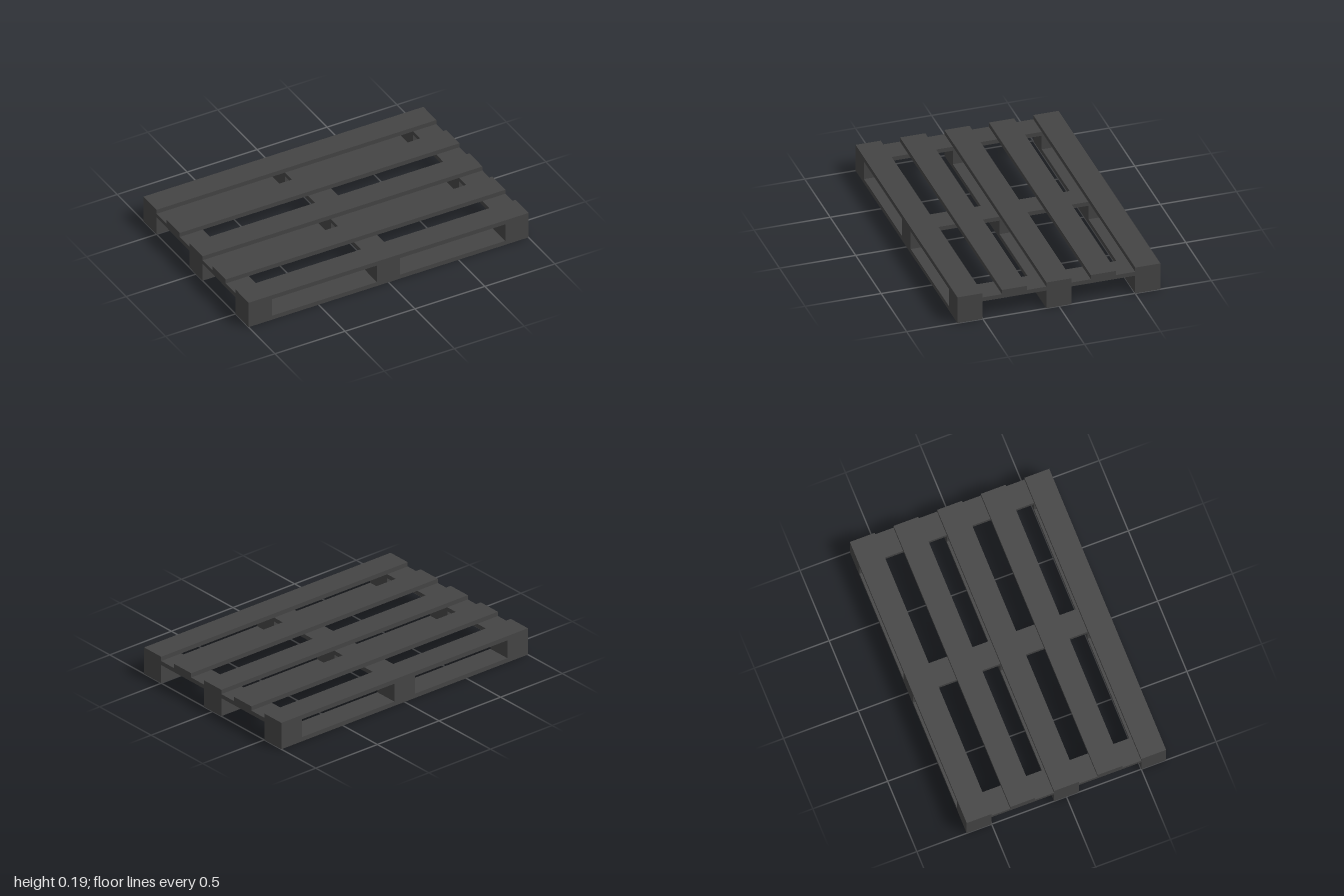
import * as THREE from 'three';

export function createModel() {
  const pallet = new THREE.Group();
  pallet.name = 'pallet';
  const material = new THREE.MeshStandardMaterial({ color: 0x444444 });

  const W = 2, D = 1.333, H = 0.185; // overall size
  const board = 0.166;               // width of boards and blocks
  const bottomTop = 0.03, blockTop = 0.127, stringerTop = 0.155;
  const xs = [-1, 0, 1].map(i => i * (W - board) / 2);
  const zs = [-1, 0, 1].map(i => i * (D - board) / 2);

  // Box spanning y0..y1, centred on x, z
  function addBox(name, w, d, y0, y1, x, z) {
    const mesh = new THREE.Mesh(new THREE.BoxGeometry(w, y1 - y0, d), material);
    mesh.name = name;
    mesh.position.set(x, (y0 + y1) / 2, z);
    pallet.add(mesh);
  }

  // Skids: a bottom board carrying three blocks
  for (const z of zs) {
    addBox('bottomBoard', W, board, 0, bottomTop, 0, z);
    for (const x of xs) addBox('block', board, board, bottomTop, blockTop, x, z);
  }

  // Stringers running front to back over the blocks
  for (const x of xs) addBox('stringer', board, D, blockTop, stringerTop, x, 0);

  // Five evenly spaced deck boards
  for (let i = -2; i <= 2; i++) {
    addBox('deckBoard', W, board, stringerTop, H, 0, i * (D - board) / 4);
  }

  return pallet;
}
